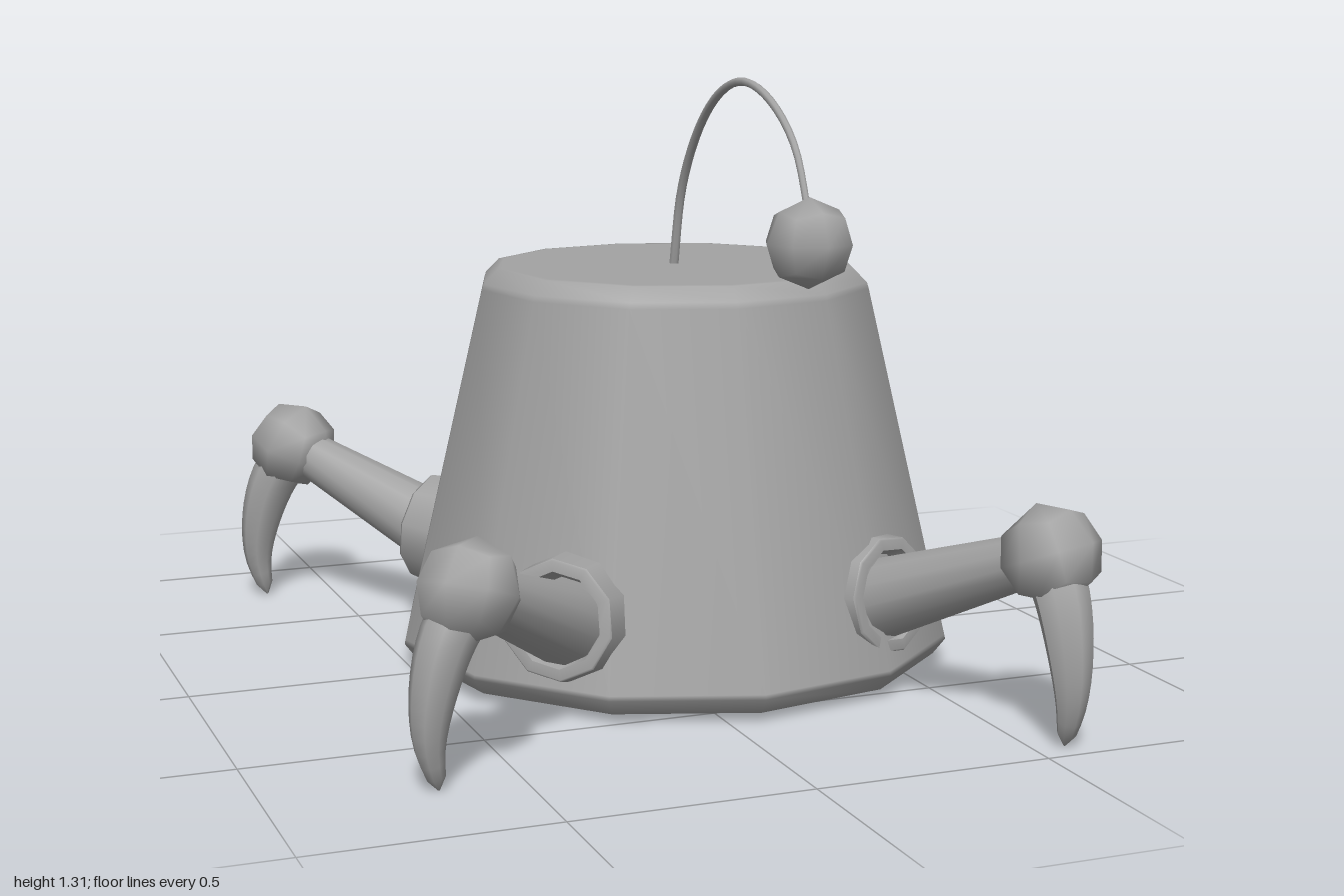
import * as THREE from 'three';
import { mergeVertices } from 'three/addons/utils/BufferGeometryUtils.js';

const material = new THREE.MeshStandardMaterial({ color: 0xa3a3a3 });
const UP = new THREE.Vector3(0, 1, 0);
const vec = (p) => new THREE.Vector3(...p);

function part(name, geometry, position = [0, 0, 0]) {
  const mesh = new THREE.Mesh(geometry, material);
  mesh.name = name;
  mesh.position.set(...position);
  return mesh;
}

function lathe(profile, sides, start = 0) {
  return new THREE.LatheGeometry(profile.map(([r, y]) => new THREE.Vector2(r, y)), sides, start);
}

// Coarse ball: a twice-divided cube pushed out to a sphere
function cubeBall(radius) {
  const box = new THREE.BoxGeometry(1, 1, 1, 2, 2, 2);
  box.deleteAttribute('normal');
  box.deleteAttribute('uv');
  const ball = mergeVertices(box);
  const position = ball.attributes.position;
  const v = new THREE.Vector3();
  for (let i = 0; i < position.count; i++) {
    v.fromBufferAttribute(position, i).setLength(radius);
    position.setXYZ(i, v.x, v.y, v.z);
  }
  ball.computeVertexNormals();
  return ball;
}

// Tube along a smooth path whose radius follows radiusAt(t)
function taperedTube(points, segments, sides, radiusAt) {
  const curve = new THREE.CatmullRomCurve3(points.map(vec));
  const geometry = new THREE.TubeGeometry(curve, segments, 1, sides);
  const position = geometry.attributes.position;
  const v = new THREE.Vector3();
  for (let i = 0; i < position.count; i++) {
    const t = Math.floor(i / (sides + 1)) / segments;
    const centre = curve.getPointAt(t);
    v.fromBufferAttribute(position, i).sub(centre).multiplyScalar(radiusAt(t)).add(centre);
    position.setXYZ(i, v.x, v.y, v.z);
  }
  geometry.computeVertexNormals();
  return geometry;
}

// Hip collar, tapered limb, knee ball and curved claw
function makeLeg({ name, collar, knee, clawDir }) {
  const leg = new THREE.Group();
  leg.name = name;
  const hip = vec(collar);
  const ball = vec(knee);
  const along = ball.clone().sub(hip).normalize();

  // Hollow collar, facing outwards and slightly up
  const socket = part('hipCollar', lathe([
    [0.14, -0.12], [0.126, -0.005], [0.126, -0.005], [0.122, 0],
    [0.1, 0], [0.1, 0], [0.085, -0.045], [0.085, -0.045], [0, -0.045],
  ], 10), collar);
  socket.quaternion.setFromUnitVectors(UP, along.clone().setY(0.12).normalize());
  leg.add(socket);

  const start = hip.clone().addScaledVector(along, -0.06);
  const limb = part('limb', new THREE.CylinderGeometry(0.05, 0.088, start.distanceTo(ball), 12));
  limb.position.copy(start).lerp(ball, 0.5);
  limb.quaternion.setFromUnitVectors(UP, along);
  leg.add(limb);

  // Knee ball turned to sit square on the limb
  const kneeBall = part('kneeBall', cubeBall(0.105), knee);
  kneeBall.lookAt(ball.clone().add(along));
  leg.add(kneeBall);

  // Claw path lies in the plane of +x and y, then turns to its heading
  const claw = part('claw', taperedTube(
    [[0.0, -0.01, 0], [0.05, -0.085, 0], [0.083, -0.185, 0], [0.092, -0.28, 0], [0.072, -0.375, 0]],
    14, 8, (t) => (t > 0.99 ? 0.002 : 0.06 - 0.046 * Math.pow(t, 1.8))), knee);
  claw.rotation.y = Math.atan2(-clawDir[1], clawDir[0]);
  leg.add(claw);
  return leg;
}

export function createModel() {
  const model = new THREE.Group();
  model.name = 'peggedWalker';

  // Twelve-sided tapered body with bevelled rims
  model.add(part('body', lathe([
    [0, 0.023], [0.585, 0.023], [0.593, 0.025], [0.62, 0.06], [0.618, 0.07],
    [0.437, 0.84], [0.433, 0.853], [0.403, 0.883], [0.39, 0.884], [0, 0.884],
  ], 12, -0.065), [0.105, 0, 0]));

  // Four legs: collar mouth, knee centre, claw heading (x, z)
  const legs = [
    { name: 'frontRightLeg', collar: [-0.33, 0.222, 0.45], knee: [-0.6, 0.38, 0.735], clawDir: [-0.96, 0.28] },
    { name: 'frontLeftLeg', collar: [0.405, 0.222, 0.51], knee: [0.57, 0.38, 0.87], clawDir: [0.0, 1] },
    { name: 'backLeftLeg', collar: [0.41, 0.222, -0.54], knee: [0.57, 0.38, -0.88], clawDir: [0.05, -1] },
    { name: 'backRightLeg', collar: [-0.335, 0.222, -0.47], knee: [-0.59, 0.38, -0.76], clawDir: [-0.95, -0.3] },
  ];
  for (const leg of legs) model.add(makeLeg(leg));

  // Antenna arching forward to a hanging ball
  const antenna = new THREE.Group();
  antenna.name = 'antenna';
  antenna.position.x = 0.105;
  antenna.add(part('antennaStalk', taperedTube([
    [0, 0.865, 0], [0, 1.055, 0.05], [0, 1.195, 0.15], [0, 1.275, 0.265], [0, 1.302, 0.385],
    [0, 1.27, 0.52], [0, 1.185, 0.64], [0, 1.045, 0.712],
  ], 32, 8, (t) => 0.011 - 0.004 * t)));
  antenna.add(part('antennaBall', cubeBall(0.09), [0, 1.004, 0.71]));
  model.add(antenna);

  return model;
}
